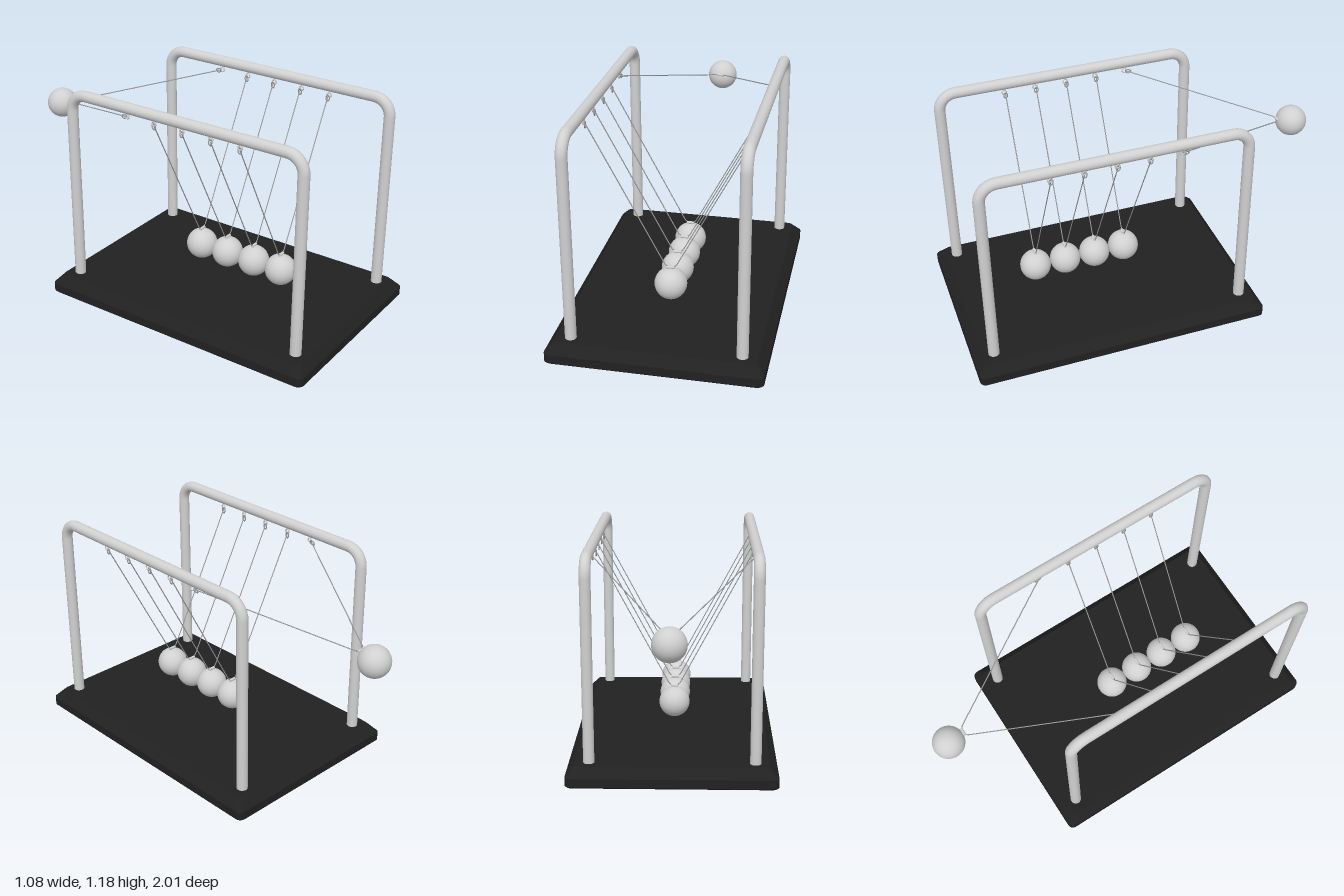
import * as THREE from 'three';

const V = (x, y, z) => new THREE.Vector3(x, y, z);
const metal = new THREE.MeshStandardMaterial({ name: 'polished metal', color: 0xd0d0d0 });
const wire = new THREE.MeshStandardMaterial({ name: 'grey wire', color: 0x9c9c9c });
const black = new THREE.MeshStandardMaterial({ name: 'black base', color: 0x212121 });

const RAIL_X = 0.425, RAIL_Y = 1.149, FRONT_Z = 0.899, BACK_Z = -0.468;
const PIVOT_X = 0.42, PIVOT_Y = 1.1, DROP = 0.842, BALL_R = 0.083;

function part(name, geometry, material, parent) {
  const mesh = new THREE.Mesh(geometry, material);
  mesh.name = name;
  parent.add(mesh);
  return mesh;
}

// Polyline whose inner corners are rounded; trim is the cut length at each corner
function roundedPath(points, trim) {
  const path = new THREE.CurvePath();
  let start = points[0];
  for (let i = 1; i < points.length - 1; i++) {
    const p = points[i];
    const a = p.clone().add(points[i - 1].clone().sub(p).setLength(trim));
    const b = p.clone().add(points[i + 1].clone().sub(p).setLength(trim));
    path.add(new THREE.LineCurve3(start, a));
    path.add(new THREE.CubicBezierCurve3(a, a.clone().lerp(p, 0.552), b.clone().lerp(p, 0.552), b));
    start = b;
  }
  path.add(new THREE.LineCurve3(start, points[points.length - 1]));
  return path;
}

// Rounded rectangle outline at one height
function outline(halfX, halfZ, y, r) {
  const pts = [];
  [[1, 1], [-1, 1], [-1, -1], [1, -1]].forEach(([sx, sz], corner) => {
    for (let k = 0; k <= 4; k++) {
      const t = (corner + k / 4) * Math.PI / 2;
      pts.push(V(sx * (halfX - r) + r * Math.cos(t), y, sz * (halfZ - r) + r * Math.sin(t)));
    }
  });
  return pts;
}

// Base slab lofted through outlines, with flat faces
function baseGeometry() {
  const rings = [[0.007, 0], [0, 0.007], [0, 0.053], [0.043, 0.103]]
    .map(([inset, y]) => outline(0.542 - inset, 0.7875 - inset, y, 0.03));
  const pos = [];
  const tri = (...ps) => ps.forEach(p => pos.push(p.x, p.y, p.z));
  const n = rings[0].length, top = rings[rings.length - 1];
  for (let i = 0; i < n; i++) {
    const j = (i + 1) % n;
    for (let s = 0; s < rings.length - 1; s++) {
      const a = rings[s][i], b = rings[s][j], c = rings[s + 1][j], d = rings[s + 1][i];
      tri(a, d, c);
      tri(a, c, b);
    }
    tri(V(0, top[0].y, 0), top[j], top[i]);
    tri(V(0, 0, 0), rings[0][i], rings[0][j]);
  }
  const g = new THREE.BufferGeometry();
  g.setAttribute('position', new THREE.Float32BufferAttribute(pos, 3));
  g.computeVertexNormals();
  return g;
}

// One ball on its V-shaped wire, hanging from the local origin
function pendulum(name) {
  const g = new THREE.Group();
  g.name = name;
  const eyeY = -DROP + BALL_R + 0.007;
  part('ball', new THREE.SphereGeometry(BALL_R, 40, 28), metal, g).position.y = -DROP;

  const path = roundedPath([V(-PIVOT_X, 0, 0), V(-0.022, eyeY, 0), V(0.022, eyeY, 0), V(PIVOT_X, 0, 0)], 0.02);
  part('suspensionWire', new THREE.TubeGeometry(path, 110, 0.0028, 6), wire, g);

  const sleeve = part('wireSleeve', new THREE.CylinderGeometry(0.0075, 0.0075, 0.04, 12), metal, g);
  sleeve.rotation.z = Math.PI / 2;
  sleeve.position.y = eyeY;

  // Small wire loop around each hook
  for (const side of [-1, 1]) {
    const loop = part('wireLoop', new THREE.TorusGeometry(0.01, 0.003, 6, 16), wire, g);
    loop.rotation.y = Math.PI / 2;
    loop.scale.y = 1.5;
    loop.position.set(side * (PIVOT_X - 0.005), -0.016, 0);
  }
  return g;
}

export function createModel() {
  const model = new THREE.Group();
  model.name = 'swingingBallCradle';

  part('base', baseGeometry(), black, model).position.z = 0.2125;

  // Two bent tube frames
  for (const side of [-1, 1]) {
    const x = side * RAIL_X;
    const path = roundedPath([V(x, 0.09, FRONT_Z), V(x, RAIL_Y, FRONT_Z), V(x, RAIL_Y, BACK_Z), V(x, 0.09, BACK_Z)], 0.09);
    part(side > 0 ? 'leftFrame' : 'rightFrame', new THREE.TubeGeometry(path, 200, 0.029, 24), metal, model);
  }

  // Five pendulums, the rearmost one raised
  for (let i = 0; i < 5; i++) {
    const z = 0.548 - i * 0.167;
    const p = pendulum('pendulum' + (i + 1));
    p.position.set(0, PIVOT_Y, z);
    if (i === 4) p.rotation.x = THREE.MathUtils.degToRad(73.4);
    model.add(p);

    // Eye hooks under the rails
    for (const side of [-1, 1]) {
      const hook = part('eyeHook', new THREE.TorusGeometry(0.012, 0.0035, 8, 18), metal, model);
      hook.rotation.y = Math.PI / 2;
      hook.position.set(side * PIVOT_X, 1.102, z + 0.006);
      const stem = part('hookStem', new THREE.CylinderGeometry(0.0035, 0.0035, 0.02, 8), metal, model);
      stem.position.set(side * PIVOT_X, 1.122, z + 0.006);
    }
  }
  return model;
}
